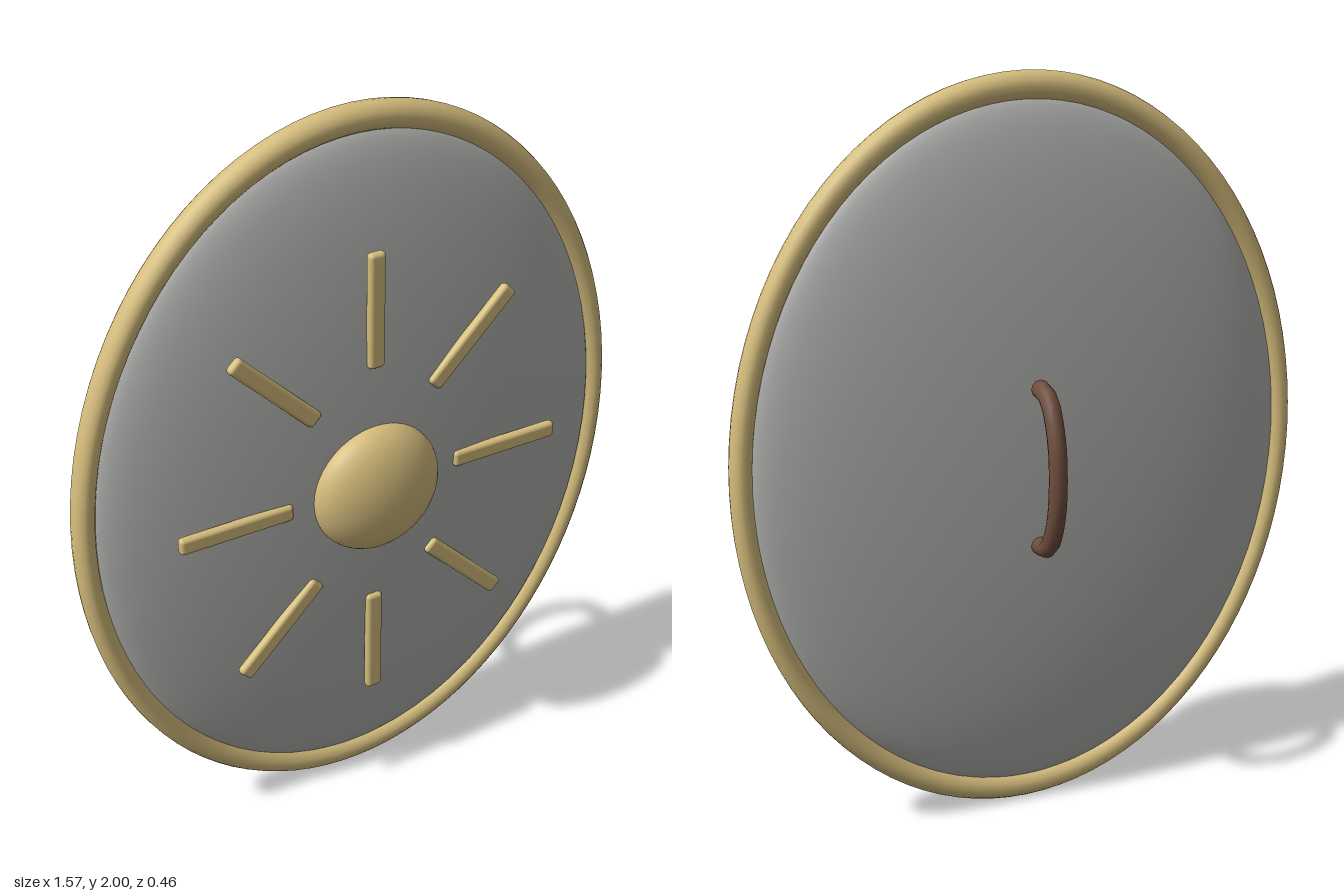
import * as THREE from 'three';
import { RoundedBoxGeometry } from 'three/addons/geometries/RoundedBoxGeometry.js';

const CY = 1;          // height of the shield centre
const FACE_Z = 0.025;  // middle plane of plate and rim

function material(name, color) {
  const m = new THREE.MeshStandardMaterial({ color });
  m.name = name;
  return m;
}

export function createModel() {
  const gold = material('gold', 0xd4bc7c);
  const steel = material('steel', 0xb0b0ae);
  const leather = material('brown leather', 0x6e4e3e);

  const shield = new THREE.Group();
  shield.name = 'shield';
  const add = (name, geometry, mat, x, y, z) => {
    const mesh = new THREE.Mesh(geometry, mat);
    mesh.name = name;
    mesh.position.set(x, y, z);
    shield.add(mesh);
    return mesh;
  };

  // Bulging oval plate
  add('plate', new THREE.SphereGeometry(1, 64, 40).scale(0.74, 0.94, 0.115), steel, 0, CY, FACE_Z);

  // Oval rim
  add('rim', new THREE.TorusGeometry(0.963, 0.037, 16, 96).scale(0.787, 1, 0.97), gold, 0, CY, FACE_Z);

  // Flattened central boss
  add('boss', new THREE.SphereGeometry(0.18, 40, 28).scale(1, 1, 0.5), gold, 0, CY, 0.14);

  // Eight rays set on an oval around the boss
  const rayGeometry = new RoundedBoxGeometry(0.315, 0.046, 0.026, 3, 0.011);
  for (let i = 0; i < 8; i++) {
    const a = (i * Math.PI) / 4;
    const ray = add('ray', rayGeometry, gold, 0.397 * Math.cos(a), CY + 0.505 * Math.sin(a), 0.132);
    ray.rotation.z = a;
  }

  // Bowed grip on the back
  const half = [[0.212, -0.06], [0.212, -0.11], [0.195, -0.15], [0.105, -0.194]];
  const points = [
    ...half.map(([y, z]) => new THREE.Vector3(0, y, z)),
    new THREE.Vector3(0, 0, -0.206),
    ...half.slice().reverse().map(([y, z]) => new THREE.Vector3(0, -y, z)),
  ];
  const path = new THREE.CatmullRomCurve3(points, false, 'centripetal');
  add('handle', new THREE.TubeGeometry(path, 16, 0.024, 12), leather, 0, CY, 0);

  return shield;
}
